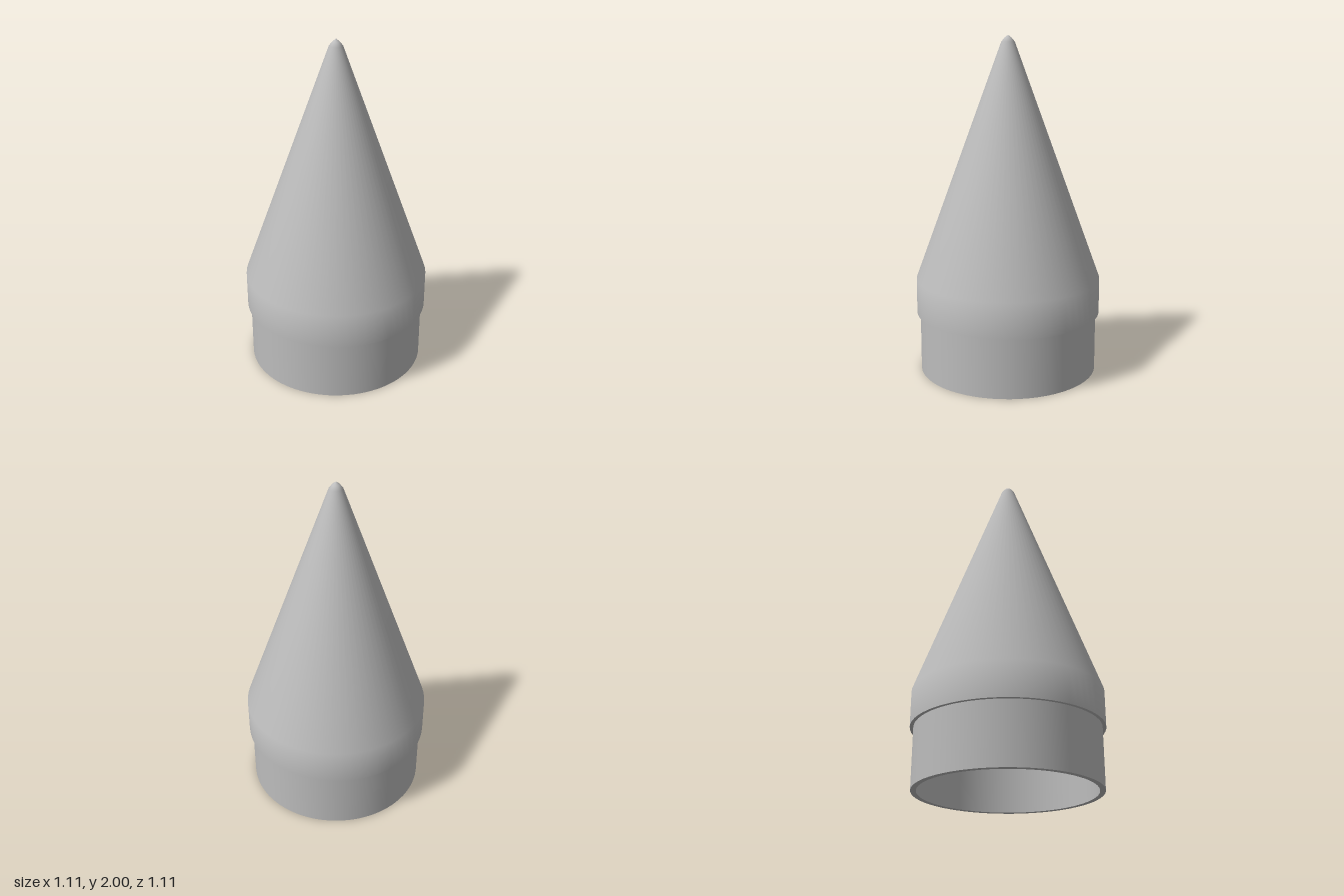
import * as THREE from 'three';

const SEGMENTS = 64;

export function createModel() {
  const model = new THREE.Group();
  model.name = 'noseCone';
  const grey = new THREE.MeshStandardMaterial({ color: 0xbcbcbc });
  grey.name = 'grey plastic';

  // Each section is its own lathe, so edges between sections stay sharp.
  // Profiles rising in y face outwards, falling ones face inwards.
  function section(name, profile) {
    const points = profile.map(([r, y]) => new THREE.Vector2(r, y));
    const mesh = new THREE.Mesh(new THREE.LatheGeometry(points, SEGMENTS), grey);
    mesh.name = name;
    model.add(mesh);
  }

  // Outside: shoulder, step, and cone with a blunt tip
  section('shoulderOuterWall', [[0.533, 0], [0.533, 0.355]]);
  section('coneLip', [[0.533, 0.355], [0.553, 0.355]]);
  section('coneOuterWall', [
    [0.553, 0.355], [0.553, 0.565], [0.04, 1.96], [0.022, 1.983], [0, 2],
  ]);

  // Inside: hollow shoulder sleeve, its upper rim, and the cone lining
  section('shoulderBottomRim', [[0.502, 0], [0.533, 0]]);
  section('shoulderInnerWall', [[0.502, 0.39], [0.502, 0]]);
  section('shoulderTopRim', [[0.522, 0.39], [0.502, 0.39]]);
  section('coneInnerWall', [[0, 1.92], [0.02, 1.9], [0.522, 0.56], [0.522, 0.39]]);

  return model;
}
